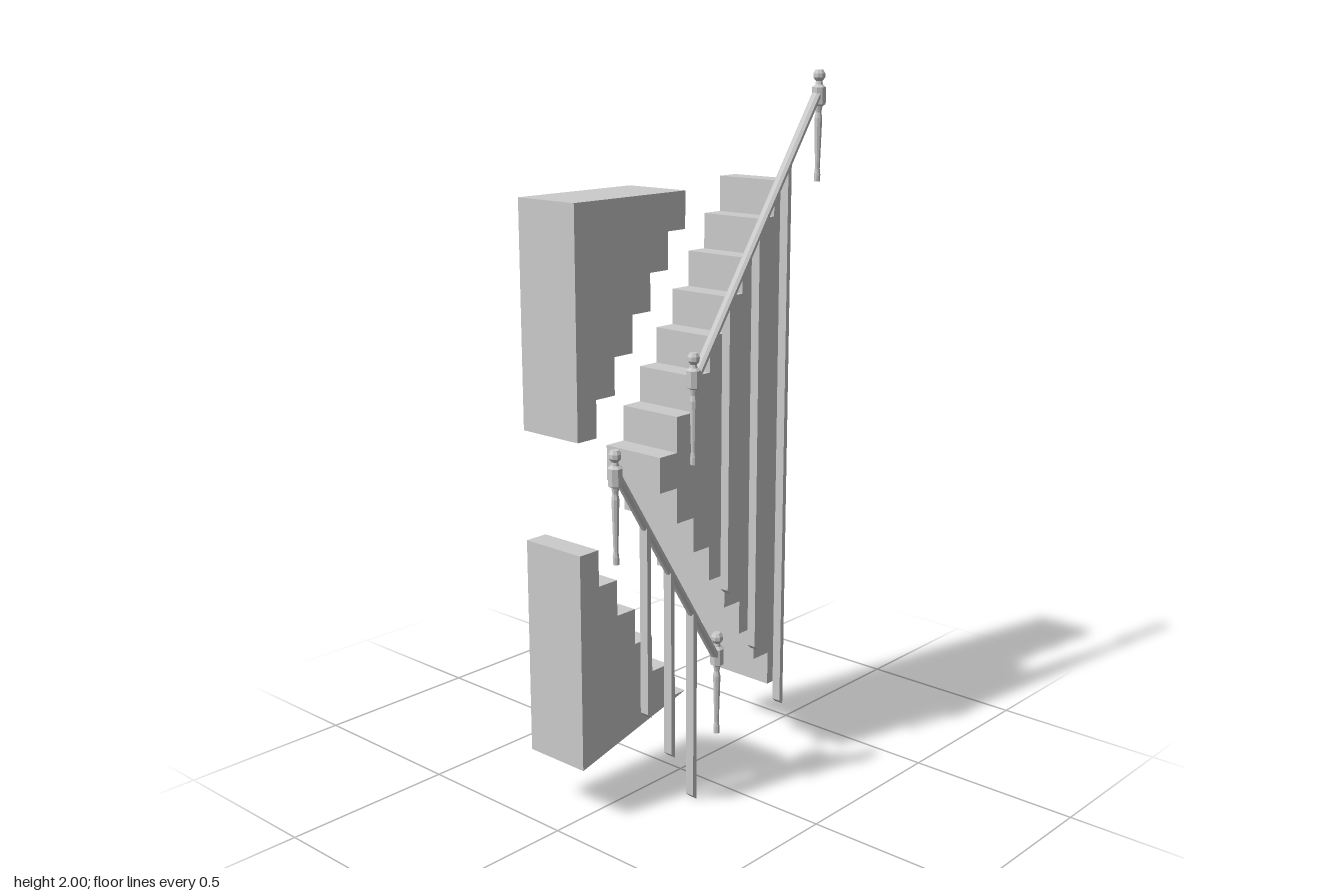
import * as THREE from 'three';

const grey = new THREE.MeshStandardMaterial({ color: 0xcccccc, flatShading: true });
const RUN = 0.0687, RISE = 0.1021, BASE = 0.164, TOP = 1.695, WALL = 0.433;
const RAIL_Z = 0.145;

// Extrudes a front outline between two depths
function slab(name, points, z0, z1) {
  const shape = new THREE.Shape(points.map(([x, y]) => new THREE.Vector2(x, y)));
  const geometry = new THREE.ExtrudeGeometry(shape, { depth: z1 - z0, bevelEnabled: false });
  geometry.translate(0, 0, z0);
  const mesh = new THREE.Mesh(geometry, grey);
  mesh.name = name;
  return mesh;
}

// Zigzag of treads and risers starting with a tread
function zigzag(x, y, dx, dy, count) {
  const points = [];
  for (let i = 0; i < count; i++) {
    points.push([x + i * dx, y + i * dy], [x + (i + 1) * dx, y + i * dy]);
  }
  return points;
}

// Turned newel post with a faceted block and finial
function newelPost(x, y) {
  const profile = [
    [0, 0], [0.009, 0], [0.009, 0.02], [0.007, 0.035], [0.01, 0.14], [0.011, 0.175],
    [0.008, 0.19], [0.011, 0.207], [0.02, 0.212], [0.02, 0.258], [0.011, 0.265],
    [0.009, 0.274], [0.017, 0.284], [0.017, 0.295], [0.011, 0.305], [0, 0.305],
  ].map(([r, h]) => new THREE.Vector2(r, h));
  const post = new THREE.Mesh(new THREE.LatheGeometry(profile, 8, Math.PI / 8), grey);
  post.name = 'newelPost';
  post.position.set(x, y, RAIL_Z);
  return post;
}

// Banister: two posts, a sloping faceted rail and long balusters cut on the slant
function banister(name, start, end, balusters) {
  const group = new THREE.Group();
  group.name = name;
  group.add(newelPost(...start), newelPost(...end));

  const a = new THREE.Vector3(start[0], start[1] + (start[1] > end[1] ? 0.247 : 0.226), RAIL_Z);
  const b = new THREE.Vector3(end[0], end[1] + (end[1] > start[1] ? 0.252 : 0.226), RAIL_Z);
  const railGeometry = new THREE.CylinderGeometry(0.0155, 0.0155, a.distanceTo(b), 8);
  railGeometry.rotateY(Math.PI / 8);
  railGeometry.scale(0.7, 1, 1);
  const rail = new THREE.Mesh(railGeometry, grey);
  rail.name = 'handrail';
  rail.position.copy(a).lerp(b, 0.5);
  rail.rotation.z = Math.atan2(b.y - a.y, b.x - a.x) - Math.PI / 2;
  group.add(rail);

  const slope = (b.y - a.y) / (b.x - a.x);
  const half = 0.007;
  for (const [x, bottom] of balusters) {
    const top = a.y + slope * (x - a.x);
    group.add(slab('baluster', [
      [x - half, bottom + 0.013], [x + half, bottom],
      [x + half, top + slope * half], [x - half, top - slope * half],
    ], RAIL_Z - 0.0135, RAIL_Z + 0.0135));
  }
  return group;
}

export function createModel() {
  const model = new THREE.Group();
  model.name = 'staircase';
  const back = -0.168, front = 0.035;

  // Lower flight, solid beneath the treads
  model.add(slab('lowerFlight', [
    [-WALL, BASE], ...zigzag(-0.02, BASE + RISE, -RUN, RISE, 6).map(([x, y]) => [Math.max(x, -WALL), y]),
  ], back, front));

  // Upper block with a stepped underside
  model.add(slab('upperBlock', [
    [-0.02, TOP], [-WALL, TOP], ...zigzag(-WALL, TOP - 6 * RISE, RUN, RISE, 6),
  ], back, front));

  // Middle flight, stepped above and below
  model.add(slab('middleFlight', [
    [0.427, BASE],
    [0.427, TOP],
    ...zigzag(0.427, TOP, -RUN, -RISE, 8),
    ...zigzag(0.427 - 8 * RUN, BASE + 7 * RISE, RUN, -RISE, 8).slice(0, -1),
  ].filter(([x, y], i) => i !== 1), back, front));

  // Banisters in front of the flights
  model.add(banister('lowerBanister', [-0.41, 0.775], [-0.008, 0.164],
    [[-0.3, 0.31], [-0.207, 0.16], [-0.116, 0]]));
  model.add(banister('upperBanister', [-0.11, 0.98], [0.41, 1.695],
    [[0.028, 0.575], [0.15, 0.37], [0.27, 0.163]]));
  return model;
}
